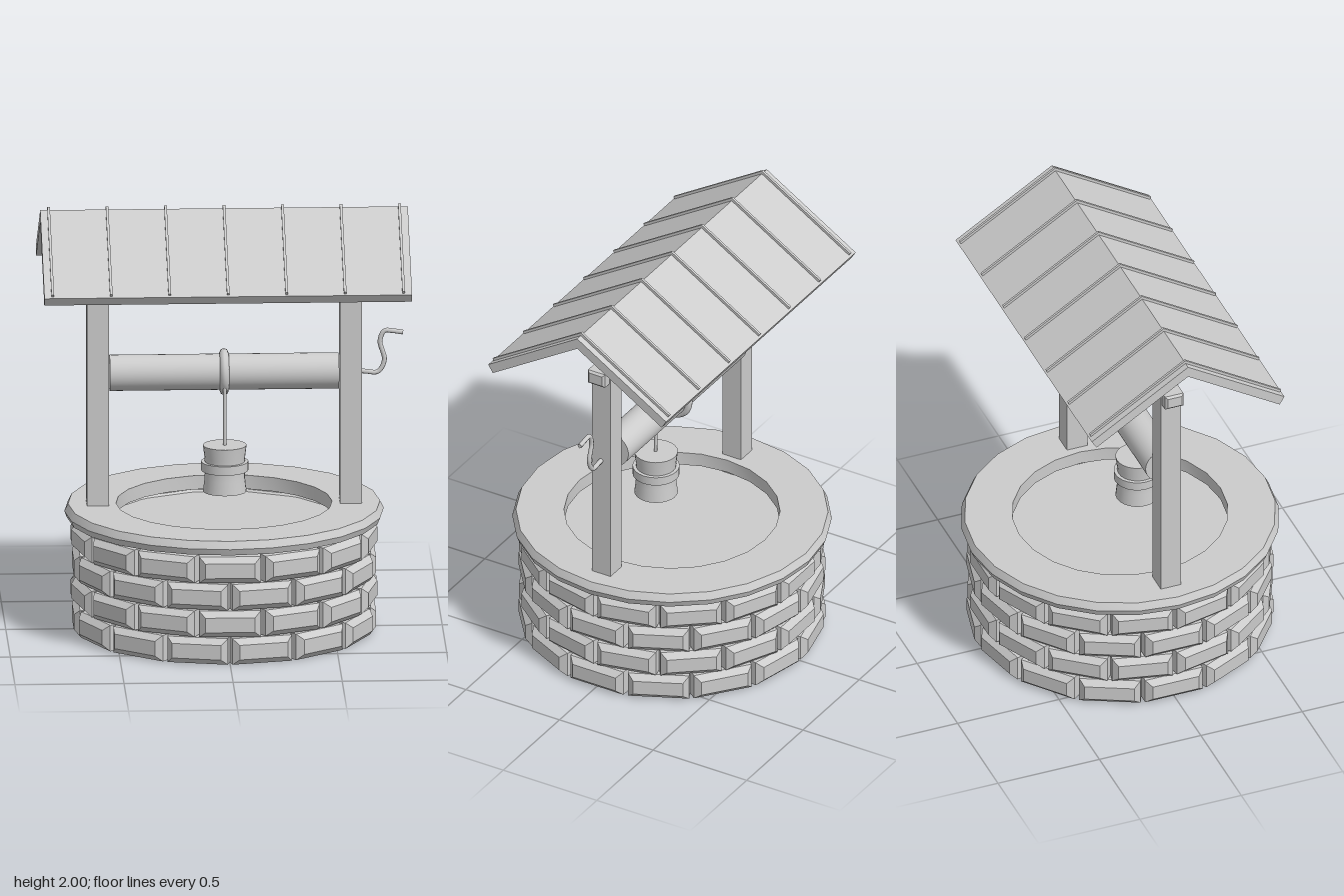
import * as THREE from 'three';
import { toCreasedNormals } from 'three/addons/utils/BufferGeometryUtils.js';

const grey = new THREE.MeshStandardMaterial({ color: 0xcccccc });
grey.name = 'light grey';

function add(parent, name, geometry, x = 0, y = 0, z = 0) {
  const mesh = new THREE.Mesh(geometry, grey);
  mesh.name = name;
  mesh.position.set(x, y, z);
  parent.add(mesh);
  return mesh;
}

// Block with chamfered front and back outlines, centred, facing +z
function chamferBox(w, h, d, b) {
  const x = w / 2 - b, y = h / 2 - b;
  const s = new THREE.Shape([[-x, -y], [x, -y], [x, y], [-x, y]].map(p => new THREE.Vector2(...p)));
  return new THREE.ExtrudeGeometry(s, {
    depth: d - 2 * b, bevelSize: b, bevelThickness: b, bevelSegments: 1,
  }).translate(0, 0, b - d / 2);
}

// Gabled strip running along x, symmetric in z
function gable(width, ridge, endZ, endY, thick) {
  const dir = new THREE.Vector2(endZ, endY - ridge).normalize();
  const inZ = endZ + dir.y * thick, inY = endY - dir.x * thick;
  const s = new THREE.Shape([
    [0, ridge], [-endZ, endY], [-inZ, inY],
    [0, ridge - thick / dir.x], [inZ, inY], [endZ, endY],
  ].map(p => new THREE.Vector2(...p)));
  return new THREE.ExtrudeGeometry(s, { depth: width, bevelEnabled: false })
    .translate(0, 0, -width / 2).rotateY(Math.PI / 2);
}

function lathe(points, segments) {
  const g = new THREE.LatheGeometry(points.map(p => new THREE.Vector2(...p)), segments);
  return toCreasedNormals(g, 0.5);
}

export function createModel() {
  const well = new THREE.Group();
  well.name = 'well';

  // Four courses of bricks in running bond
  const wall = new THREE.Group();
  wall.name = 'brickWall';
  well.add(wall);
  const count = 14, outer = 0.693, depth = 0.165;
  const brick = chamferBox(0.282, 0.123, depth, 0.027).translate(0, 0, outer - depth / 2);
  for (let row = 0; row < 4; row++) {
    for (let i = 0; i < count; i++) {
      const m = add(wall, 'brick', brick, 0, 0.064 + row * 0.128, 0);
      m.rotation.y = (i + (row % 2 ? 0 : 0.5)) * Math.PI * 2 / count;
    }
  }

  // Filling inside the wall and the rim on top
  add(well, 'water', new THREE.CylinderGeometry(0.56, 0.56, 0.29, 24), 0, 0.355, 0);
  add(well, 'rim', lathe([
    [0.495, 0.53], [0.72, 0.53], [0.732, 0.56], [0.715, 0.595], [0.495, 0.595], [0.495, 0.53],
  ], 24));

  // Posts and top beam
  for (const side of [1, -1]) {
    add(well, side > 0 ? 'leftPost' : 'rightPost',
      new THREE.BoxGeometry(0.1, 1.2, 0.1), side * 0.58, 1.1, 0);
  }
  add(well, 'topBeam', chamferBox(0.09, 0.07, 1.36, 0.01).rotateY(Math.PI / 2), 0, 1.675, 0);

  // Roof with seams
  add(well, 'roof', gable(1.685, 1.985, 0.475, 1.69, 0.045));
  for (let i = -3; i <= 3; i++) {
    add(well, 'roofSeam', gable(0.012, 2, 0.472, 1.706, 0.03), i * 0.268, 0, 0);
  }

  // Drum, rope and crank
  add(well, 'drum', new THREE.CylinderGeometry(0.083, 0.083, 1.05, 32).rotateZ(Math.PI / 2), 0, 1.212, 0);
  add(well, 'ropeCoil', new THREE.TorusGeometry(0.087, 0.021, 8, 24).rotateY(Math.PI / 2), 0, 1.212, 0);
  const rope = new THREE.LineCurve3(new THREE.Vector3(0, 1.2, 0.082), new THREE.Vector3(0, 0.88, 0.088));
  add(well, 'rope', new THREE.TubeGeometry(rope, 1, 0.008, 8));
  const bend = new THREE.CatmullRomCurve3([
    [0.6, 1.212], [0.65, 1.207], [0.705, 1.205], [0.735, 1.26], [0.715, 1.35],
    [0.735, 1.398], [0.775, 1.397], [0.82, 1.39],
  ].map(([x, y]) => new THREE.Vector3(x, y, 0)));
  add(well, 'crank', new THREE.TubeGeometry(bend, 40, 0.011, 8));
  add(well, 'crankTip', new THREE.CircleGeometry(0.011, 8).rotateY(Math.PI / 2), 0.82, 1.39, 0);

  // Bucket with a waist and a band
  const bucket = new THREE.Group();
  bucket.name = 'bucket';
  bucket.position.z = 0.085;
  well.add(bucket);
  add(bucket, 'bucketBody', lathe([
    [0, 0.67], [0.1, 0.67], [0.093, 0.73], [0.09, 0.785], [0.093, 0.83], [0.1, 0.888], [0, 0.888],
  ], 24));
  add(bucket, 'bucketBand', new THREE.CylinderGeometry(0.108, 0.108, 0.042, 24), 0, 0.79, 0);

  return well;
}
